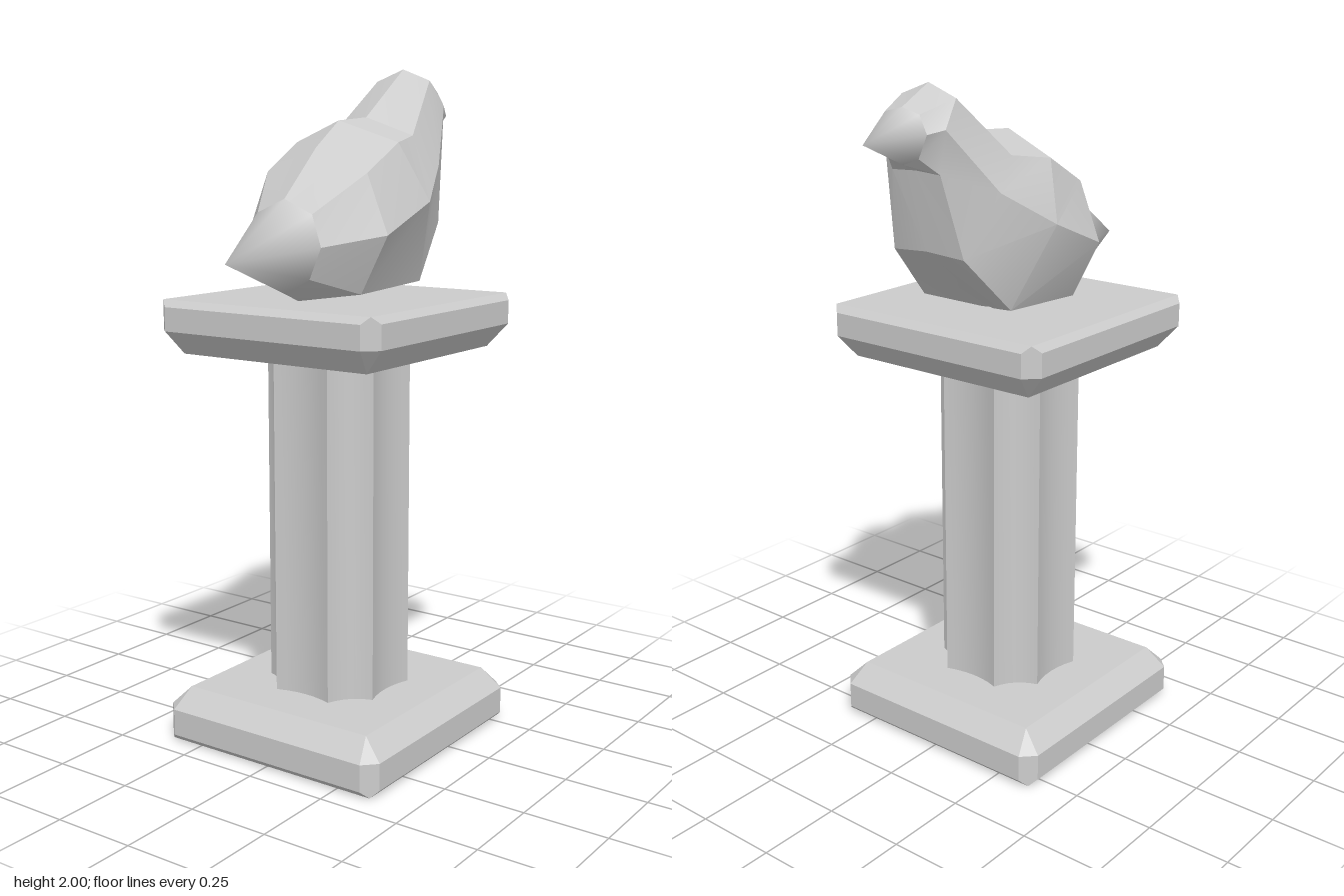
import * as THREE from 'three';
import { toCreasedNormals } from 'three/addons/utils/BufferGeometryUtils.js';
import { ConvexGeometry } from 'three/addons/geometries/ConvexGeometry.js';

const material = new THREE.MeshStandardMaterial({ color: 0xcccccc });

function addMesh(parent, name, geometry) {
  const mesh = new THREE.Mesh(geometry, material);
  mesh.name = name;
  parent.add(mesh);
}

// Square slab with cut corners; each level is [y, half width, corner cut]
function slab(levels) {
  const points = [];
  for (const [y, h, cut] of levels) {
    for (const sx of [-1, 1]) for (const sz of [-1, 1]) {
      points.push(new THREE.Vector3(sx * h, y, sz * (h - cut)));
      if (cut) points.push(new THREE.Vector3(sx * (h - cut), y, sz * h));
    }
  }
  return new ConvexGeometry(points);
}

// Eight-sided shaft with shallow concave flutes
function flutedShaft(bottom, top) {
  const a = 0.095, b = 0.19;
  const corners = [[b, -a], [b, a], [a, b], [-a, b], [-b, a], [-b, -a], [-a, -b], [a, -b]];
  const shape = new THREE.Shape();
  shape.moveTo(...corners[0]);
  corners.forEach(([x, y], i) => {
    const [nx, ny] = corners[(i + 1) % 8];
    shape.quadraticCurveTo((x + nx) * 0.41, (y + ny) * 0.41, nx, ny);
  });
  const geometry = new THREE.ExtrudeGeometry(shape, { depth: top - bottom, bevelEnabled: false, curveSegments: 6 });
  geometry.rotateX(-Math.PI / 2).translate(0, bottom, 0);
  return toCreasedNormals(geometry, 0.3);
}

// Mirrors a half section (top to belly) into a closed ring
function ring(half) {
  const mirrored = half.slice(1, -1).reverse().map(([x, y, z]) => [x, y, -z]);
  return [...half, ...mirrored];
}

// Skin between successive rings of equal size
function loft(rings, crease) {
  const n = rings[0].length;
  const index = [];
  for (let i = 0; i < rings.length - 1; i++) {
    for (let j = 0; j < n; j++) {
      const a = i * n + j, b = i * n + (j + 1) % n;
      index.push(a, b, a + n, b, b + n, a + n);
    }
  }
  const geometry = new THREE.BufferGeometry();
  geometry.setAttribute('position', new THREE.Float32BufferAttribute(rings.flat(2), 3));
  geometry.setIndex(index);
  geometry.computeVertexNormals();
  return toCreasedNormals(geometry, crease);
}

// Pointed end: fan from a ring to a tip, smooth around
function point(section, tip, forward) {
  const n = section.length;
  const index = [];
  for (let j = 0; j < n; j++) {
    const k = (j + 1) % n;
    index.push(...(forward ? [j, k, n] : [k, j, n]));
  }
  const geometry = new THREE.BufferGeometry();
  geometry.setAttribute('position', new THREE.Float32BufferAttribute([...section, tip].flat(), 3));
  geometry.setIndex(index);
  geometry.computeVertexNormals();
  return geometry;
}

export function createModel() {
  const model = new THREE.Group();
  model.name = 'birdOnPedestal';

  // Pedestal
  const pedestal = new THREE.Group();
  pedestal.name = 'pedestal';
  pedestal.position.x = -0.06;
  model.add(pedestal);
  addMesh(pedestal, 'base', slab([[0, 0.36, 0], [0.02, 0.38, 0.04], [0.1, 0.38, 0.04], [0.16, 0.32, 0]]));
  addMesh(pedestal, 'column', flutedShaft(0.15, 1.19));
  addMesh(pedestal, 'capital', slab([[1.18, 0.32, 0], [1.25, 0.38, 0.04], [1.32, 0.38, 0.04], [1.34, 0.36, 0]]));

  // Bird: half sections from tail to head, each listed from back ridge to belly
  const bird = new THREE.Group();
  bird.name = 'bird';
  bird.position.z = -0.012;
  model.add(bird);
  const rings = [
    [[-0.3, 1.63, 0], [-0.3, 1.59, 0.095], [-0.3, 1.5, 0.125], [-0.3, 1.41, 0.085], [-0.3, 1.365, 0]],
    [[-0.15, 1.77, 0], [-0.15, 1.7, 0.175], [-0.15, 1.53, 0.245], [-0.15, 1.36, 0.155], [-0.24, 1.34, 0]],
    [[-0.04, 1.845, 0], [0, 1.783, 0.18], [0.06, 1.615, 0.25], [0.15, 1.375, 0.16], [0.04, 1.335, 0]],
    [[0.1, 1.855, 0], [0.13, 1.802, 0.145], [0.22, 1.715, 0.18], [0.31, 1.54, 0.125], [0.32, 1.55, 0]],
    [[0.3, 2, 0], [0.3, 1.965, 0.095], [0.36, 1.89, 0.11], [0.355, 1.77, 0.085], [0.358, 1.775, 0]],
    [[0.405, 1.945, 0], [0.405, 1.93, 0.06], [0.405, 1.88, 0.085], [0.405, 1.815, 0.055], [0.405, 1.795, 0]],
  ].map(ring);
  addMesh(bird, 'body', loft(rings, 0.35));
  addMesh(bird, 'tail', point(rings[0], [-0.56, 1.467, 0], false));
  addMesh(bird, 'beak', point(rings[5], [0.555, 1.863, 0], true));

  return model;
}
